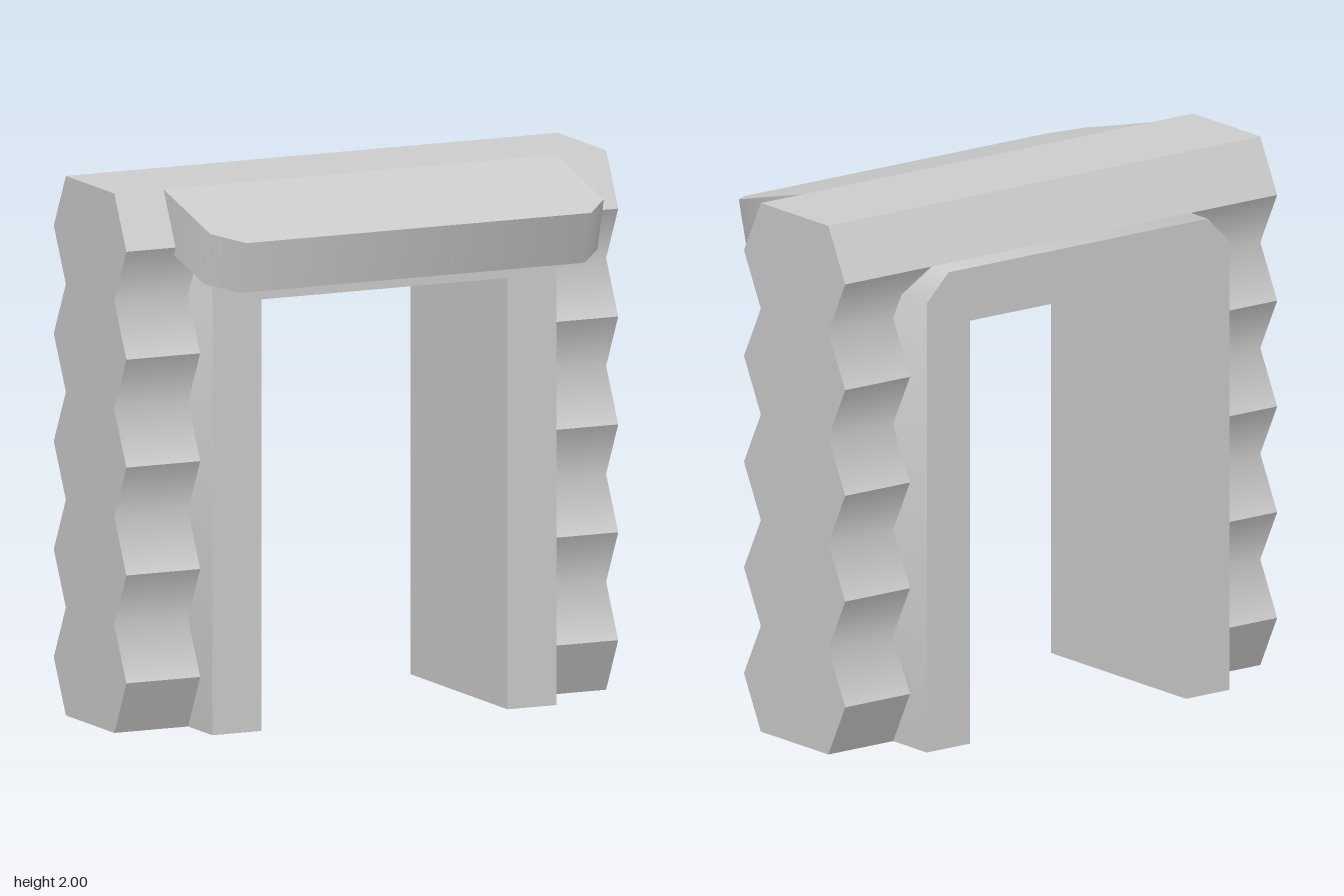
import * as THREE from 'three';

const material = new THREE.MeshStandardMaterial({ color: 0xcccccc });

// Extrude an outline; side normals are blended only at corners where isSmooth(x, y)
function prism(points, depth, isSmooth = () => false) {
  const shape = new THREE.Shape(points.map(([x, y]) => new THREE.Vector2(x, y)));
  const geo = new THREE.ExtrudeGeometry(shape, { depth, bevelEnabled: false });
  const pos = geo.attributes.position, nor = geo.attributes.normal;
  const sums = new Map();
  const sideCorner = (i) =>
    Math.abs(nor.getZ(i)) < 0.5 && isSmooth(pos.getX(i), pos.getY(i))
      ? `${pos.getX(i).toFixed(3)},${pos.getY(i).toFixed(3)}` : null;
  const keys = Array.from({ length: pos.count }, (_, i) => sideCorner(i));
  keys.forEach((key, i) => {
    if (!key) return;
    if (!sums.has(key)) sums.set(key, new THREE.Vector3());
    sums.get(key).add(new THREE.Vector3().fromBufferAttribute(nor, i));
  });
  keys.forEach((key, i) => {
    if (!key) return;
    const n = sums.get(key).clone().normalize();
    nor.setXYZ(i, n.x, n.y, n.z);
  });
  return geo;
}

// Turn a (z, y) outline into a prism centred along x
function crosswise(points, width, isSmooth) {
  return prism(points, width, isSmooth).translate(0, 0, -width / 2).rotateY(-Math.PI / 2);
}

export function createModel() {
  const model = new THREE.Group();
  const add = (name, geometry) => {
    const mesh = new THREE.Mesh(geometry, material);
    mesh.name = name;
    model.add(mesh);
    return mesh;
  };

  // Zigzag side pillars: sharp ridges, softened valleys
  const back = [], front = [];
  for (let i = 0; i <= 9; i++) {
    const out = i % 2 ? 0.1 : 0;
    back.push([-0.34 - out, i * 0.2]);
    front.unshift([0.06 + out, i * 0.2]);
  }
  const isValley = (z, y) => y > 0.1 && Math.round(y * 5) % 2 === 0;
  for (const [side, name] of [[1, 'leftPillar'], [-1, 'rightPillar']]) {
    add(name, crosswise([...back, ...front], 0.4, isValley)).position.x = side * 0.8;
  }

  // Sloped cap across the full width
  add('topBeam', crosswise([[-0.44, 1.8], [0.16, 1.8], [0.06, 2], [-0.34, 2]], 2));

  // Doorway frame with chamfered upper corners
  const frame = prism([
    [-0.7, 0], [-0.5, 0], [-0.5, 1.6], [0.5, 1.6], [0.5, 0], [0.7, 0],
    [0.7, 1.7], [0.6, 1.8], [-0.6, 1.8], [-0.7, 1.7],
  ], 0.8, (x, y) => y > 1.65);
  add('doorFrame', frame).position.z = -0.54;

  // Tilted awning with cut front corners
  const awning = prism([
    [-0.8, 0], [0.8, 0], [0.8, 0.4], [0.7, 0.5], [-0.7, 0.5], [-0.8, 0.4],
  ], 0.2, (x, y) => y > 0.3).rotateX(Math.PI / 2);
  const lip = add('awning', awning);
  lip.rotation.x = THREE.MathUtils.degToRad(15);
  lip.position.set(0, 2, 0.06);

  return model;
}
